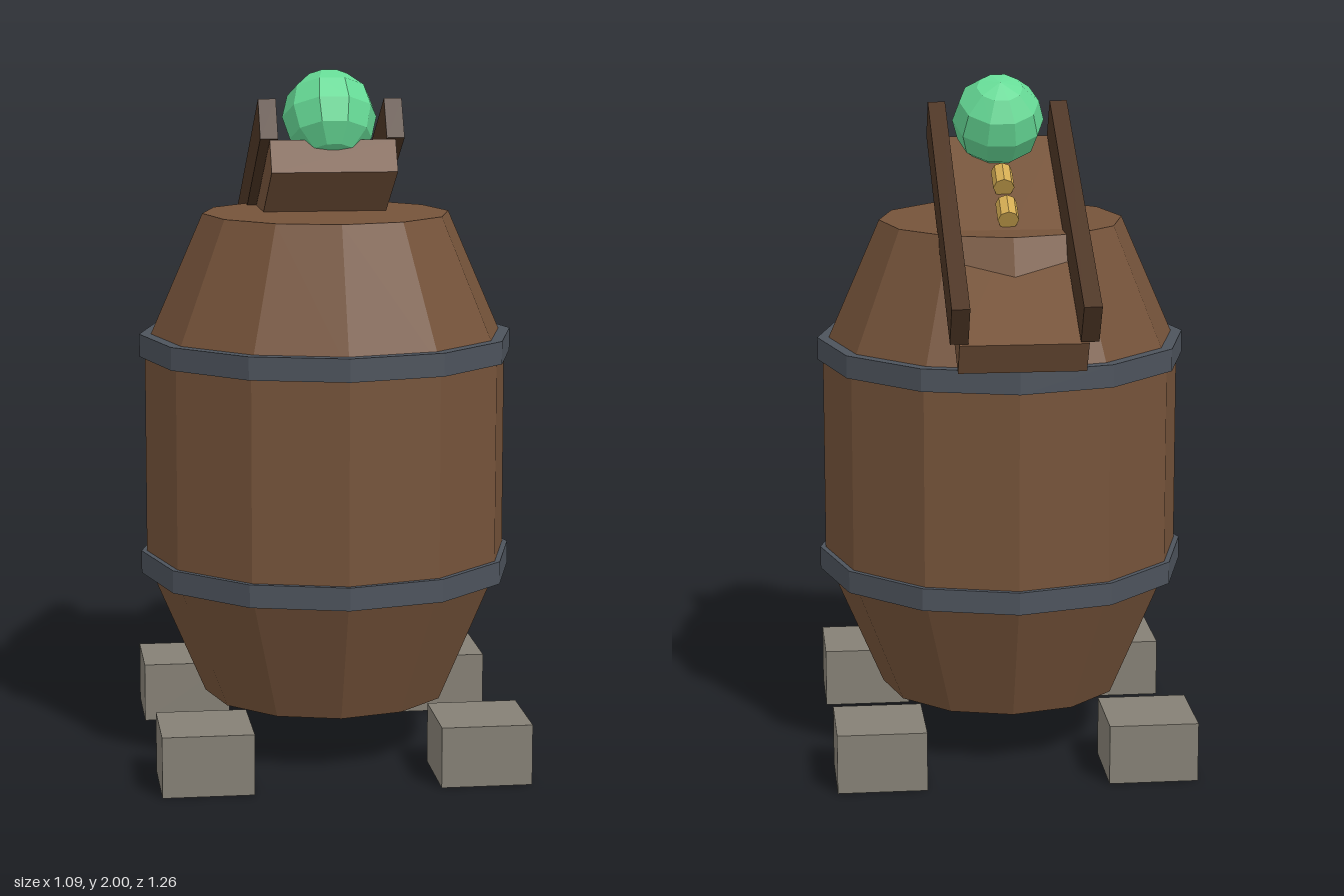
import * as THREE from 'three';

const mat = (name, color) => {
  const m = new THREE.MeshStandardMaterial({ color, flatShading: true });
  m.name = name;
  return m;
};

export function createModel() {
  const wood = mat('wood', 0x75533a);
  const darkWood = mat('dark wood', 0x4d3524);
  const iron = mat('iron', 0x4d535c);
  const stone = mat('stone', 0x858075);
  const brass = mat('brass', 0xd2aa52);
  const green = mat('green', 0x66da96);

  const model = new THREE.Group();
  model.name = 'barrelCatapult';
  const add = (parent, name, geometry, material, x, y, z) => {
    const mesh = new THREE.Mesh(geometry, material);
    mesh.name = name;
    mesh.position.set(x, y, z);
    parent.add(mesh);
    return mesh;
  };
  const cz = 0.087; // barrel axis

  // Twelve-sided barrel with tapered ends
  const profile = [[0, 0.165], [0.36, 0.165], [0.53, 0.56], [0.53, 1.195], [0.36, 1.585], [0, 1.585]]
    .map(([r, y]) => new THREE.Vector2(r, y));
  add(model, 'barrel', new THREE.LatheGeometry(profile, 12), wood, 0, 0, cz);

  // Iron hoops
  for (const y of [0.56, 1.203]) {
    add(model, 'hoop', new THREE.CylinderGeometry(0.546, 0.546, 0.066, 12), iron, 0, y, cz);
  }

  // Stone blocks at the four corners
  for (const x of [-0.395, 0.395]) {
    for (const z of [-0.393, 0.393]) {
      add(model, 'footBlock', new THREE.BoxGeometry(0.26, 0.175, 0.26), stone, x, 0.0875, cz + z);
    }
  }

  // Sloping chute, built flat and then tilted up toward the front
  const chute = new THREE.Group();
  chute.name = 'chute';
  chute.position.set(0, 1.527, -0.135);
  chute.rotation.x = -Math.PI / 6;
  model.add(chute);

  add(chute, 'plank', new THREE.BoxGeometry(0.36, 0.102, 0.94), wood, 0, 0, 0);
  for (const x of [-0.181, 0.181]) {
    add(chute, 'rail', new THREE.BoxGeometry(0.051, 0.126, 0.937), darkWood, x, 0.119, 0);
  }

  // Brass pins lying along the plank
  for (const z of [0.081, 0.231]) {
    const pin = add(chute, 'pin', new THREE.CylinderGeometry(0.031, 0.031, 0.078, 8), brass, 0, 0.075, z);
    pin.rotation.x = Math.PI / 2;
  }

  // Faceted ball at the upper end
  add(chute, 'ball', new THREE.SphereGeometry(0.136, 10, 6), green, 0, 0.143, 0.429);

  return model;
}
